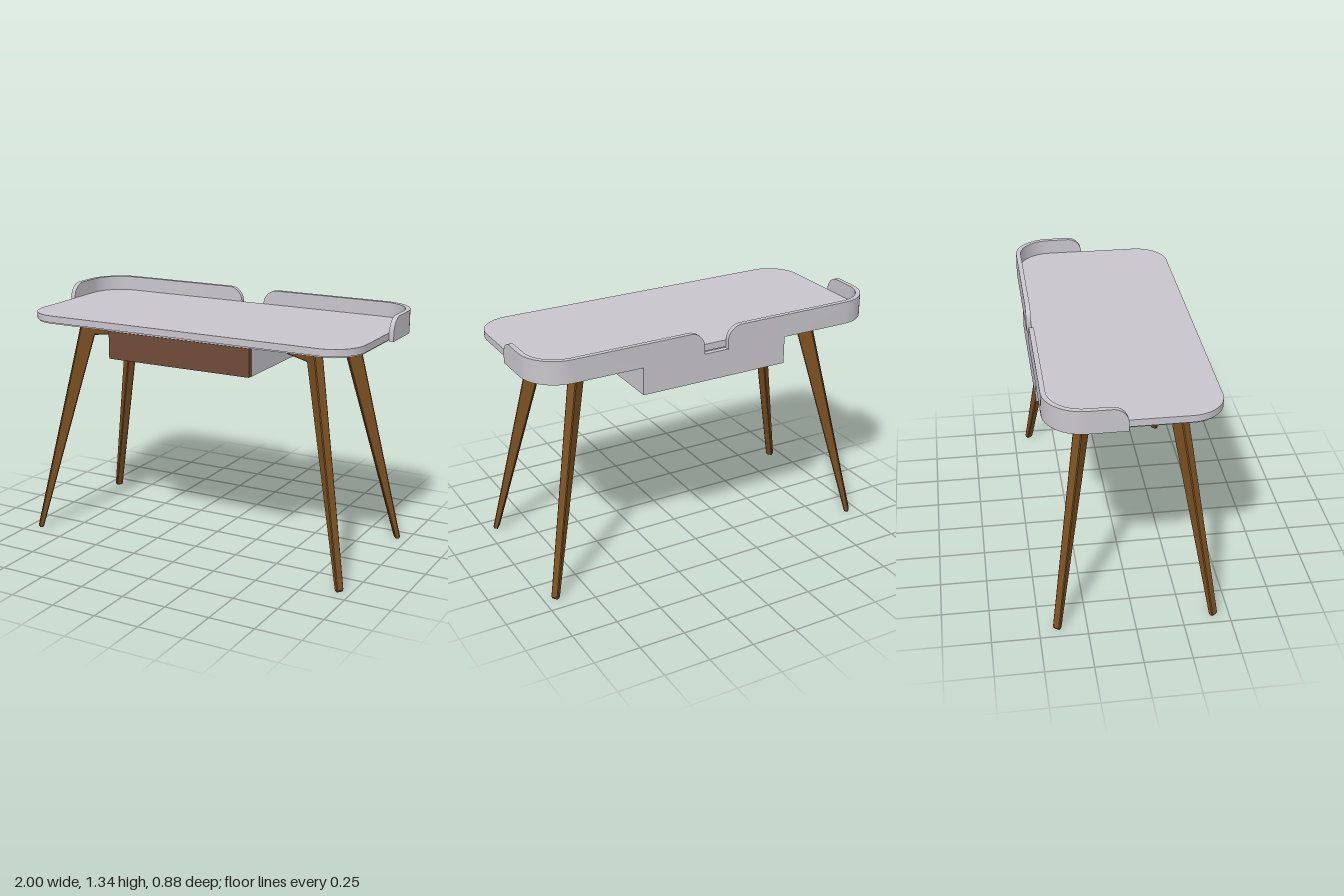
import * as THREE from 'three';
import { toCreasedNormals } from 'three/addons/utils/BufferGeometryUtils.js';

const mat = (name, color) => {
  const m = new THREE.MeshStandardMaterial({ color });
  m.name = name;
  return m;
};

// Horizontal rounded slab from y0 to y1
function slab(halfW, z0, z1, r, y0, y1) {
  const s = new THREE.Shape();
  const a = -z1, b = -z0; // shape y becomes -z
  s.moveTo(-halfW + r, a);
  s.lineTo(halfW - r, a);
  s.absarc(halfW - r, a + r, r, -Math.PI / 2, 0);
  s.lineTo(halfW, b - r);
  s.absarc(halfW - r, b - r, r, 0, Math.PI / 2);
  s.lineTo(-halfW + r, b);
  s.absarc(-halfW + r, b - r, r, Math.PI / 2, Math.PI);
  s.lineTo(-halfW, a + r);
  s.absarc(-halfW + r, a + r, r, Math.PI, Math.PI * 1.5);
  const g = new THREE.ExtrudeGeometry(s, { depth: y1 - y0, bevelEnabled: false, curveSegments: 16 });
  g.rotateX(-Math.PI / 2).translate(0, y0, 0);
  return toCreasedNormals(g, 0.5);
}

// Upright rail bent round a back corner, with rounded upper ends
function railGeometry(side) {
  const R = 0.2, T = 0.026, xIn = 0.07, zBack = -0.445, zFront = -0.047;
  const y0 = 1.216, yTop = 1.34, r = 0.08, cx = 1 - R, cz = zBack + R;
  const rings = [];
  const add = (x, z, nx, nz, h) => rings.push([
    [x, y0, z], [x, h, z], [x - nx * T, h, z - nz * T], [x - nx * T, y0, z - nz * T],
  ].map(([px, py, pz]) => [px * side, py, pz]));
  const end = (t) => [r * (1 - Math.cos(t)), yTop - r + r * Math.sin(t)];
  for (let i = 0; i <= 10; i++) {
    const [e, h] = end(i / 10 * Math.PI / 2);
    add(xIn + e, zBack, 0, -1, h);
  }
  for (let i = 0; i <= 16; i++) {
    const t = i / 16 * Math.PI / 2, nx = Math.sin(t), nz = -Math.cos(t);
    add(cx + R * nx, cz + R * nz, nx, nz, yTop);
  }
  for (let i = 10; i >= 0; i--) {
    const [e, h] = end(i / 10 * Math.PI / 2);
    add(1, zFront - e, 1, 0, h);
  }
  const pts = [];
  const quad = (a, b, c, d) => pts.push(a, b, c, a, c, d);
  for (let i = 0; i < rings.length - 1; i++) {
    const p = rings[i], q = rings[i + 1];
    for (let k = 0; k < 4; k++) {
      const n = (k + 1) % 4;
      quad(p[k], p[n], q[n], q[k]);
    }
  }
  const f = rings[0], l = rings[rings.length - 1];
  quad(f[0], f[3], f[2], f[1]);
  quad(l[0], l[1], l[2], l[3]);
  if (side < 0) pts.reverse();
  const g = new THREE.BufferGeometry();
  g.setAttribute('position', new THREE.Float32BufferAttribute(pts.flat(), 3));
  return toCreasedNormals(g, 0.5);
}

// Splayed leg and its bracket arm in one bent profile, thinner at the foot
function legGeometry() {
  const top = 1.216, s = new THREE.Shape();
  s.moveTo(0, top);
  s.lineTo(0, 1.172);
  s.quadraticCurveTo(0.004, 1.13, 0.05, 1.125);
  s.lineTo(0.28, 1.13);
  s.lineTo(0.604, 0.012);
  s.lineTo(0.61, 0);
  s.lineTo(0.628, 0);
  s.lineTo(0.634, 0.012);
  s.lineTo(0.348, top);
  s.closePath();
  const t = 0.052, bevel = 0.005;
  const g = new THREE.ExtrudeGeometry(s, {
    depth: t - 2 * bevel, bevelEnabled: true, bevelThickness: bevel,
    bevelSize: bevel, bevelOffset: -bevel, bevelSegments: 1, curveSegments: 8,
  });
  g.translate(0, 0, -t / 2 + bevel);
  const p = g.attributes.position;
  for (let i = 0; i < p.count; i++) {
    const k = Math.min(1, Math.max(0, p.getY(i) / 1.12));
    p.setZ(i, p.getZ(i) * (0.76 + 0.24 * k));
  }
  return toCreasedNormals(g, 0.4);
}

export function createModel() {
  const model = new THREE.Group();
  model.name = 'desk';
  const grey = mat('light grey', 0xc8c6cc);
  const wood = mat('leg wood', 0x7a5022);
  const brown = mat('drawer brown', 0x704a37);
  const add = (name, geometry, material) => {
    const m = new THREE.Mesh(geometry, material);
    m.name = name;
    model.add(m);
    return m;
  };

  // Desktop with a slightly inset lower edge
  add('desktop', slab(0.972, -0.421, 0.44, 0.18, 1.223, 1.26), grey);
  add('desktopUnderside', slab(0.964, -0.413, 0.432, 0.172, 1.215, 1.223), grey);

  // Rails
  add('leftRail', railGeometry(1), grey);
  add('rightRail', railGeometry(-1), grey);

  // Drawer case and front
  add('drawerCase', new THREE.BoxGeometry(0.84, 0.15, 0.845), grey).position.set(0, 1.14, -0.0175);
  add('drawerFront', new THREE.BoxGeometry(0.84, 0.15, 0.032), brown).position.set(0, 1.14, 0.421);

  // Four legs turned outwards towards the corners
  const leg = legGeometry(), splay = 36 * Math.PI / 180;
  for (const sx of [1, -1]) for (const sz of [1, -1]) {
    const m = add((sz > 0 ? 'front' : 'back') + (sx > 0 ? 'Left' : 'Right') + 'Leg', leg, wood);
    m.position.set(sx * 0.434, 0, 0.005 + sz * 0.047);
    m.rotation.y = Math.atan2(-sz * Math.sin(splay), sx * Math.cos(splay));
  }
  return model;
}
